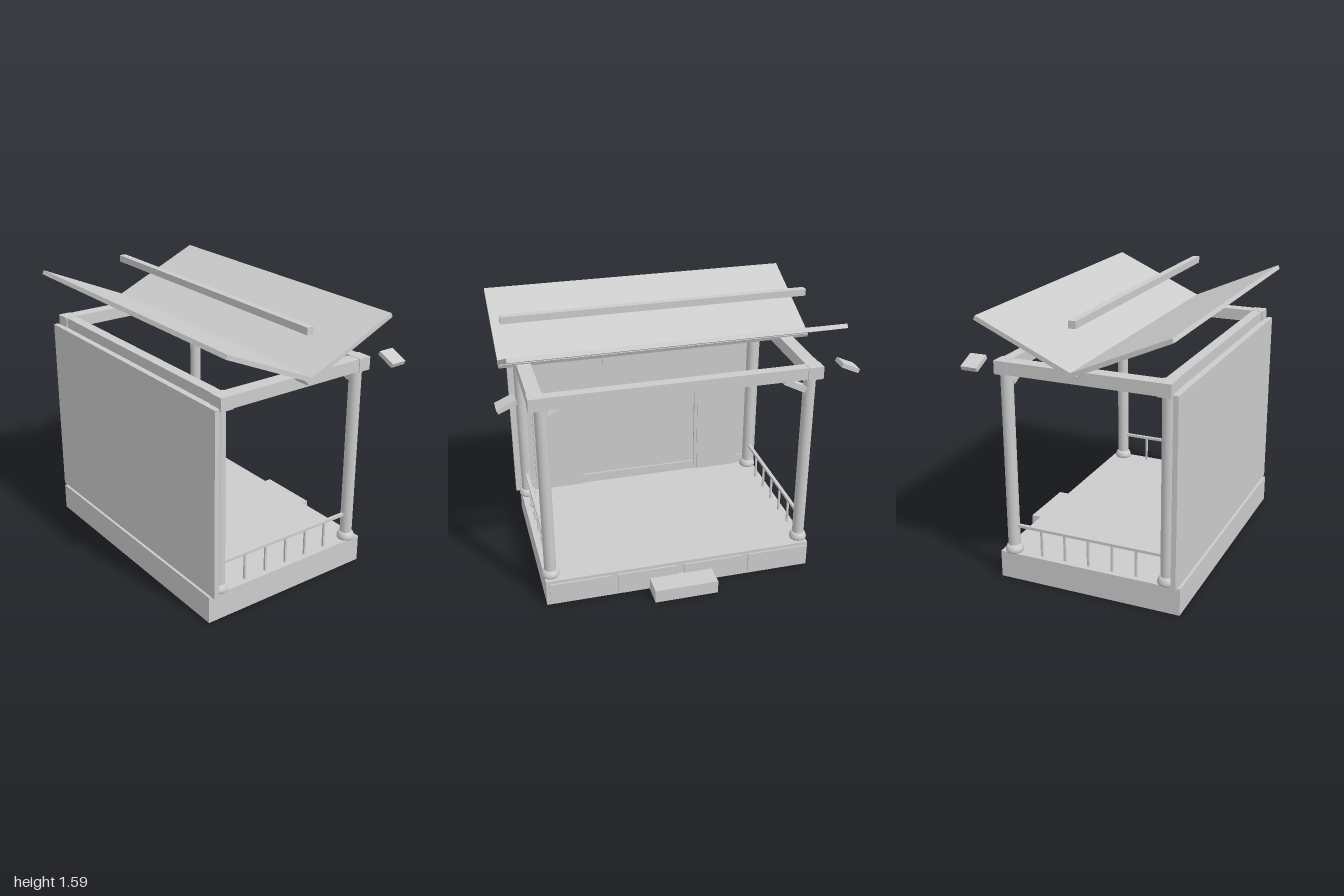
import * as THREE from 'three';

const mat = new THREE.MeshStandardMaterial({ color: 0xcccccc });

export function createModel() {
  const root = new THREE.Group();
  root.name = 'pavilion';

  const add = (name, geometry, x, y, z) => {
    const mesh = new THREE.Mesh(geometry, mat);
    mesh.name = name;
    mesh.position.set(x, y, z);
    root.add(mesh);
    return mesh;
  };
  // Box given by its min and max on each axis
  const box = (name, x0, x1, y0, y1, z0, z1) =>
    add(name, new THREE.BoxGeometry(x1 - x0, y1 - y0, z1 - z0),
      (x0 + x1) / 2, (y0 + y1) / 2, (z0 + z1) / 2);

  const frontZ = 0.524, backZ = -0.407, colX = 0.762;
  const floorY = 0.16, beamY0 = 1.23, beamY1 = 1.305;

  // Platform, step and raised panels along the back of the platform
  box('platform', -0.8, 0.8, 0, floorY, -0.475, 0.615);
  box('step', -0.19, 0.19, 0, 0.08, -0.615, -0.475);
  for (const x of [-0.6, -0.2, 0.2, 0.6]) {
    box('platformPanel', x - 0.18, x + 0.18, 0.02, 0.14, -0.484, -0.47);
  }

  // Solid wall with its trim on the inner side
  box('wall', -0.83, 0.83, floorY, 1.25, 0.572, 0.6);
  box('wallCornice', -0.8, 0.8, 1.21, 1.245, 0.558, 0.575);
  box('baseboard', -0.8, 0.8, floorY, 0.22, 0.562, 0.575);
  box('wallPlaque', -0.23, 0.23, 1.0, 1.145, 0.556, 0.575);
  for (const s of [-1, 1]) {
    box('doorFrame', s * 0.54 - 0.155, s * 0.54 + 0.155, floorY, 0.835, 0.558, 0.575);
    box('doorPanel', s * 0.54 - 0.135, s * 0.54 + 0.135, floorY, 0.8, 0.552, 0.575);
  }

  // Columns with rounded feet, corner blocks and sloping braces
  const shaft = new THREE.CylinderGeometry(0.035, 0.035, beamY0 - floorY, 24);
  const foot = new THREE.LatheGeometry(
    [[0, 0], [0.048, 0], [0.052, 0.008], [0.051, 0.02], [0.045, 0.035], [0.036, 0.045], [0, 0.045]]
      .map(([r, y]) => new THREE.Vector2(r, y)), 24);
  const braceGeo = new THREE.BoxGeometry(0.145, 0.035, 0.055);
  for (const s of [-1, 1]) {
    for (const z of [frontZ, backZ]) {
      add('column', shaft, s * colX, (floorY + beamY0) / 2, z);
      add('columnFoot', foot, s * colX, floorY, z);
      add('cornerBlock', new THREE.BoxGeometry(0.09, beamY1 - beamY0, 0.076),
        s * 0.785, (beamY0 + beamY1) / 2, z);
      add('brace', braceGeo, s * 0.67, 1.2, z).rotation.z = -s * 0.47;
    }
  }

  // Beams joining the columns
  for (const z of [frontZ, backZ]) {
    box('longBeam', -0.75, 0.75, beamY0 + 0.002, beamY1 - 0.002, z - 0.03, z + 0.03);
  }
  for (const s of [-1, 1]) {
    box('sideBeam', s * 0.785 - 0.04, s * 0.785 + 0.04, beamY0 + 0.002, beamY1 - 0.002, backZ, frontZ);
  }

  // Side railings
  for (const s of [-1, 1]) {
    const x = s * colX;
    box('handrail', x - 0.01, x + 0.01, 0.314, 0.33, backZ, frontZ);
    for (let i = 0; i < 5; i++) {
      const z = 0.346 - i * 0.144;
      box('railPost', x - 0.006, x + 0.006, floorY, 0.316, z - 0.006, z + 0.006);
    }
  }

  // Roof slabs rising outwards from a low middle, with a floating ridge bar
  const slab = new THREE.BoxGeometry(1.85, 0.025, 0.63);
  const pitch = 0.418;
  add('frontRoofSlab', slab, 0, 1.428, 0.315).rotation.x = -pitch;
  add('backRoofSlab', slab, 0, 1.428, -0.2).rotation.x = pitch;
  box('ridgeBar', -0.895, 0.895, 1.548, 1.588, 0.036, 0.078);

  // Tilted eave tips at the back corners
  for (const s of [-1, 1]) {
    add('eaveTip', new THREE.BoxGeometry(0.11, 0.025, 0.095), s * 0.945, 1.322, -0.49)
      .rotation.z = -s * 0.42;
  }
  return root;
}
